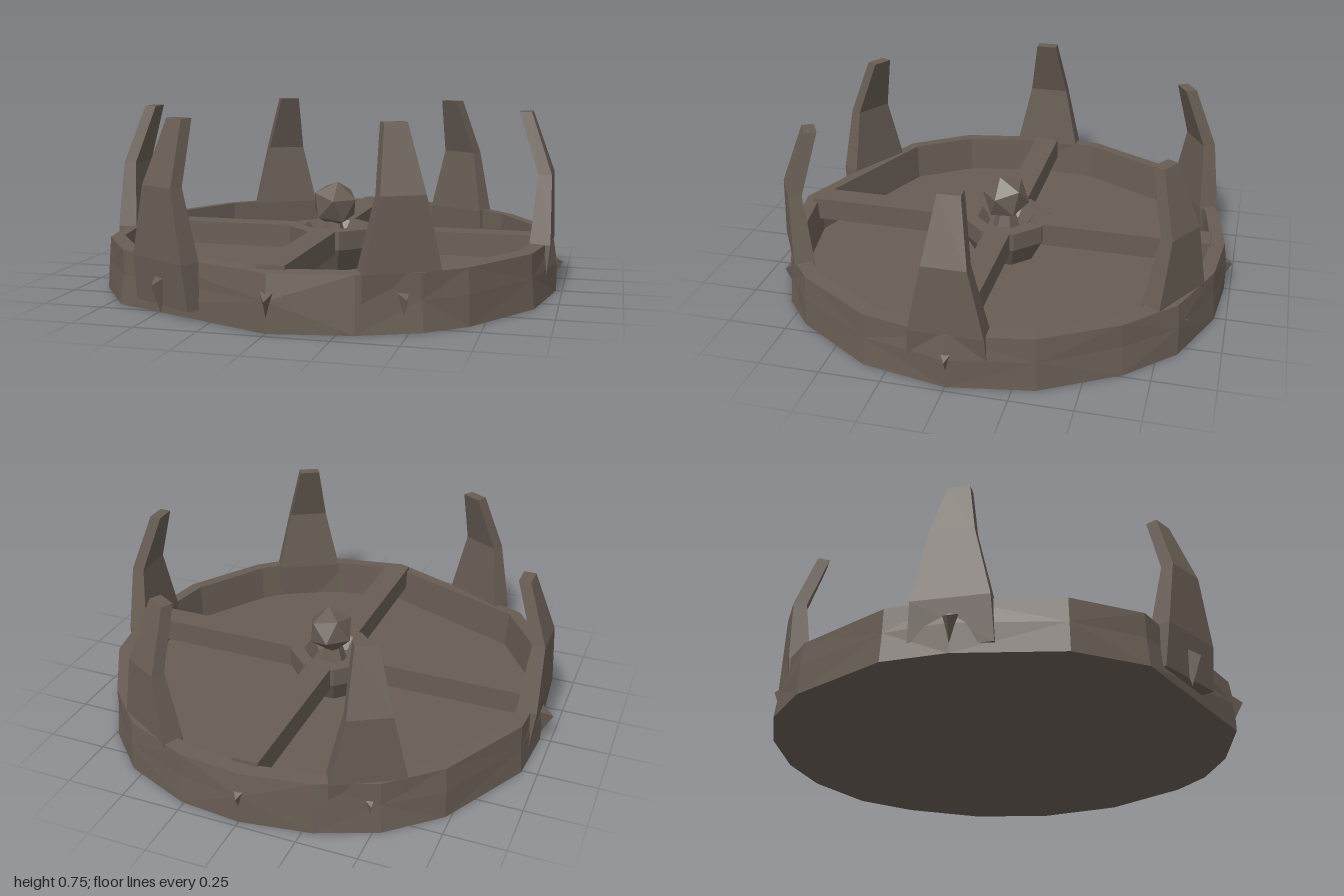
import * as THREE from 'three';

const stone = new THREE.MeshStandardMaterial({ color: 0x685d54, flatShading: true });
stone.name = 'dark stone';

// Skin between loops of equal length; loops run counter-clockwise seen from above.
function loft(loops) {
  const pos = [];
  const tri = (a, b, c) => pos.push(...a, ...b, ...c);
  for (let j = 0; j < loops.length - 1; j++) {
    const lo = loops[j], hi = loops[j + 1], n = lo.length;
    for (let i = 0; i < n; i++) {
      const k = (i + 1) % n;
      if ((i + j) % 2) { tri(lo[i], lo[k], hi[k]); tri(lo[i], hi[k], hi[i]); }
      else { tri(lo[i], lo[k], hi[i]); tri(lo[k], hi[k], hi[i]); }
    }
  }
  // end caps
  const first = loops[0], last = loops[loops.length - 1];
  for (let i = 1; i < first.length - 1; i++) {
    tri(first[0], first[i + 1], first[i]);
    tri(last[0], last[i], last[i + 1]);
  }
  const g = new THREE.BufferGeometry();
  g.setAttribute('position', new THREE.Float32BufferAttribute(pos, 3));
  g.computeVertexNormals();
  return g;
}

function add(parent, name, geometry) {
  const mesh = new THREE.Mesh(geometry, stone);
  mesh.name = name;
  parent.add(mesh);
  return mesh;
}

// Rough-hewn outline of the basin, x and z
const outline = [
  [0, 0.965], [0.32, 0.91], [0.55, 0.81], [0.7, 0.68], [0.91, 0.35], [0.975, 0],
  [0.915, -0.34], [0.74, -0.64], [0.55, -0.83], [0.26, -0.95], [0, -0.975], [-0.29, -0.93],
  [-0.53, -0.83], [-0.73, -0.65], [-0.935, -0.26], [-0.955, 0], [-0.88, 0.42], [-0.7, 0.68],
];
const ring = (inset, y, rough = 0) => outline.map(([x, z], i) => {
  const r = Math.hypot(x, z);
  const s = (r - inset - rough * ((i * 7) % 5) / 4) / r;
  return [x * s, y, z * s];
});

function hornGeometry() {
  // height, half width, outer and inner radius
  const sections = [
    [0.04, 0.16, 0.935, 0.88], [0.22, 0.15, 0.955, 0.87],
    [0.5, 0.088, 0.95, 0.895], [0.755, 0.045, 0.86, 0.81],
  ];
  return loft(sections.map(([y, w, out, inn]) =>
    [[-w, y, out], [w, y, out], [w, y, inn], [-w, y, inn]]));
}

// Small chipped spike with its point facing outwards
function studGeometry(reach) {
  const left = [-0.045, 0.17, 0.92], right = [0.045, 0.17, 0.92];
  const foot = [0, 0.01, 0.94], tip = [0.005, 0.125, reach];
  const g = new THREE.BufferGeometry();
  g.setAttribute('position', new THREE.Float32BufferAttribute(
    [...left, ...tip, ...right, ...left, ...foot, ...tip, ...foot, ...right, ...tip], 3));
  g.computeVertexNormals();
  return g;
}

export function createModel() {
  const model = new THREE.Group();
  model.name = 'hornedBasin';

  // Basin: outer wall, rim, inner wall and floor
  add(model, 'basin', loft([
    ring(0, 0), ring(0, 0.12, 0.015), ring(0.015, 0.22), ring(0.075, 0.225), ring(0.085, 0.06),
  ]));

  // Four spokes and the hub
  for (let i = 0; i < 4; i++) {
    const spoke = new THREE.Group();
    spoke.name = 'spoke';
    spoke.rotation.y = i * Math.PI / 2;
    add(spoke, 'spokeBar', new THREE.BoxGeometry(0.11, 0.1, 0.77)).position.set(0, 0.19, 0.515);
    model.add(spoke);
  }
  const hubProfile = [[0, 0.05], [0.13, 0.05], [0.19, 0.16], [0.19, 0.24], [0.13, 0.243], [0.09, 0.19], [0, 0.19]];
  const hub = add(model, 'hub', new THREE.LatheGeometry(hubProfile.map(p => new THREE.Vector2(...p)), 8));
  hub.rotation.y = Math.PI / 8;

  // Faceted knob on a short neck
  add(model, 'knobNeck', new THREE.CylinderGeometry(0.035, 0.065, 0.1, 6)).position.y = 0.225;
  const knob = add(model, 'knob', new THREE.IcosahedronGeometry(0.105, 0));
  knob.position.set(0.01, 0.335, 0);
  knob.rotation.set(0.3, 0.4, 0.35);

  // Six horns, each with a stud at its foot
  const horn = hornGeometry();
  for (let i = 0; i < 6; i++) {
    const group = new THREE.Group();
    group.name = 'hornGroup';
    group.rotation.y = Math.PI / 6 + i * Math.PI / 3;
    add(group, 'horn', horn);
    add(group, 'hornStud', studGeometry(i % 3 === 1 ? 1 : 0.985));
    model.add(group);
  }

  // Front and back studs
  for (const turn of [0, Math.PI]) {
    add(model, 'rimStud', studGeometry(1)).rotation.y = turn;
  }
  return model;
}
